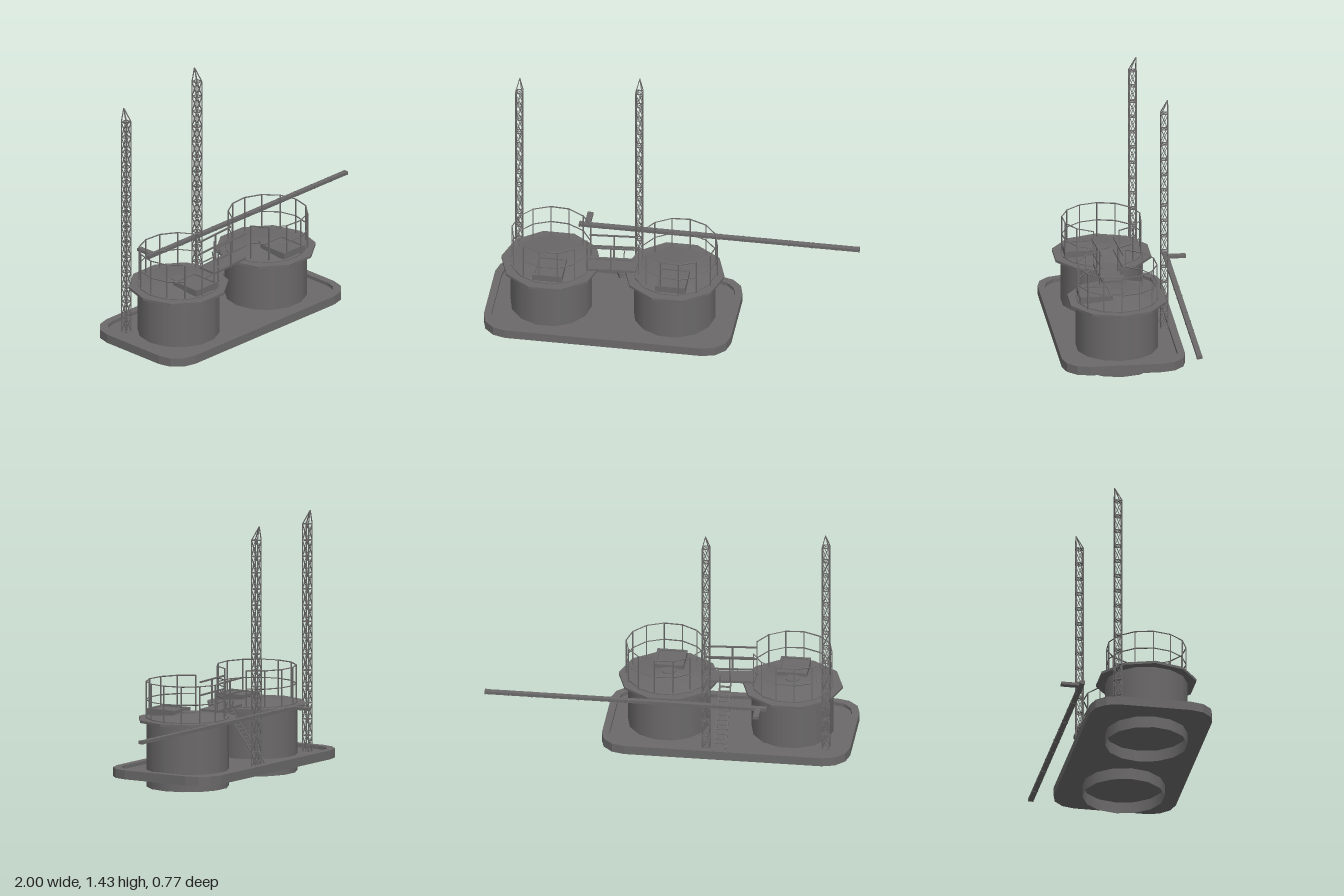
import * as THREE from 'three';
import { mergeGeometries, toCreasedNormals } from 'three/addons/utils/BufferGeometryUtils.js';

const grey = new THREE.MeshStandardMaterial({ color: 0x6b6969, side: THREE.DoubleSide });
grey.name = 'dark grey';

const V = (x, y, z) => new THREE.Vector3(x, y, z);

function add(parent, name, geometry, x = 0, y = 0, z = 0) {
  const mesh = new THREE.Mesh(geometry, grey);
  mesh.name = name;
  mesh.position.set(x, y, z);
  parent.add(mesh);
  return mesh;
}

// Square bar between two points
function rod(a, b, t = 0.005) {
  const d = b.clone().sub(a);
  const g = new THREE.BoxGeometry(t, d.length(), t);
  g.applyQuaternion(new THREE.Quaternion().setFromUnitVectors(V(0, 1, 0), d.normalize()));
  return g.translate((a.x + b.x) / 2, (a.y + b.y) / 2, (a.z + b.z) / 2);
}

// Rectangle with three-step rounded corners, as a list of points
function roundedOutline(hw, hh, r) {
  const pts = [];
  [[1, 1], [-1, 1], [-1, -1], [1, -1]].forEach(([sx, sy], q) => {
    for (let i = 0; i <= 3; i++) {
      const a = (q + i / 3) * Math.PI / 2;
      pts.push(new THREE.Vector2(sx * (hw - r) + r * Math.cos(a), sy * (hh - r) + r * Math.sin(a)));
    }
  });
  return pts;
}

function flatExtrude(shape, depth) {
  return new THREE.ExtrudeGeometry(shape, { depth, bevelEnabled: false }).rotateX(-Math.PI / 2);
}

// Slab with a low curb around its edge
function makeBase() {
  const base = new THREE.Group();
  base.name = 'base';
  const curb = new THREE.Shape(roundedOutline(0.685, 0.34, 0.14));
  curb.holes.push(new THREE.Path(roundedOutline(0.645, 0.3, 0.11).reverse()));
  add(base, 'curb', flatExtrude(curb, 0.05));
  add(base, 'floor', flatExtrude(new THREE.Shape(roundedOutline(0.647, 0.302, 0.11)), 0.03));
  base.position.set(-0.315, 0.065, 0.045);
  return base;
}

// Tank with collar, shallow roof, hatch and guard rail; the rail opens towards gapAngle
function makeTank(x, z, gapAngle, railShift) {
  const tank = new THREE.Group();
  tank.name = 'tank';
  tank.position.set(x, 0, z);
  add(tank, 'tankWall', new THREE.CylinderGeometry(0.226, 0.226, 0.383, 14, 1, true).rotateY(Math.PI / 2), 0, 0.1915, 0);
  const roof = new THREE.LatheGeometry([[0.226, 0.383], [0.04, 0.407], [0.04, 0.412], [0, 0.412]]
    .map(p => new THREE.Vector2(...p)), 14).rotateY(Math.PI / 2);
  add(tank, 'roof', toCreasedNormals(roof, 0.4));

  const collar = new THREE.CylinderGeometry(0.277, 0.277, 0.014, 10).rotateY(Math.PI / 2);
  add(tank, 'collar', toCreasedNormals(collar, 0.3), 0, 0.371, 0);

  // Hatch box with a framed lid
  const w = 0.165, d = 0.18;
  const bars = [new THREE.BoxGeometry(w, 0.03, d)];
  for (const s of [-1, 1]) {
    bars.push(new THREE.BoxGeometry(w, 0.008, 0.014).translate(0, 0.018, s * (d / 2 - 0.007)));
    bars.push(new THREE.BoxGeometry(0.014, 0.008, d).translate(s * (w / 2 - 0.007), 0.018, 0));
  }
  add(tank, 'hatch', mergeGeometries(bars), 0.008, 0.403, 0.122);

  // Guard rail
  const rods = [], n = 12, half = 0.33, r = 0.218;
  const at = (i, y) => {
    const a = gapAngle + half + i / n * (2 * Math.PI - 2 * half);
    return V(railShift + r * Math.cos(a), y, r * Math.sin(a));
  };
  for (let i = 0; i <= n; i++) {
    rods.push(rod(at(i, 0.375), at(i, 0.585), 0.006));
    if (i < n) for (const y of [0.482, 0.583]) rods.push(rod(at(i, y), at(i + 1, y)));
  }
  add(tank, 'guardRail', mergeGeometries(rods));
  return tank;
}

// Square lattice mast with a slanted tip
function makeMast(x, z) {
  const rods = [], h = 0.019, y0 = 0.095, y1 = 1.355, n = 14, t = 0.0045;
  const c = [[-h, -h], [h, -h], [h, h], [-h, h]];
  const at = (k, y) => V(c[k % 4][0], y, c[k % 4][1]);
  for (let k = 0; k < 4; k++) {
    rods.push(rod(at(k, y0), at(k, y1), t));
    rods.push(rod(at(k, y1), V(0, 1.432, -h), t));
    rods.push(rod(at(k, y1), at(k + 1, y1), t));
    for (let i = 0; i < n; i++) {
      const a = y0 + (y1 - y0) * i / n, b = y0 + (y1 - y0) * (i + 1) / n;
      rods.push(rod(at(k, a), at(k + 1, a), t));
      rods.push(rod(at(k, a), at(k + 1, b), 0.003));
      rods.push(rod(at(k + 1, a), at(k, b), 0.003));
    }
  }
  // Cross ties inside the frame
  for (let i = 0; i <= n; i++) {
    const y = y0 + (y1 - y0) * i / n;
    rods.push(rod(at(0, y), at(2, y), 0.003), rod(at(1, y), at(3, y), 0.003));
  }
  const mast = new THREE.Group();
  mast.name = 'mast';
  add(mast, 'mastLattice', mergeGeometries(rods), x, 0, z);
  return mast;
}

// Walkway joining the tanks, with a hand rail on each side
function makeBridge() {
  const bridge = new THREE.Group();
  bridge.name = 'bridge';
  const deck = new THREE.Shape([[-0.45, -0.13], [-0.18, -0.11], [-0.18, 0.005], [-0.45, -0.015]]
    .map(p => new THREE.Vector2(...p)));
  add(bridge, 'bridgeDeck', flatExtrude(deck, 0.014), 0, 0.383, 0);
  const rods = [];
  for (const z of [0.0055, 0.1245]) {
    for (const y of [0.47, 0.543]) rods.push(rod(V(-0.45, y, z + 0.01), V(-0.185, y, z - 0.01), 0.008));
    rods.push(rod(V(-0.315, 0.385, z), V(-0.315, 0.543, z), 0.008));
  }
  add(bridge, 'bridgeRails', mergeGeometries(rods));
  return bridge;
}

// Steep stair from the floor to the bridge
function makeStair() {
  const parts = [], bottom = V(0, 0.1, -0.222), top = V(0, 0.39, 0), n = 14;
  for (const x of [-0.321, -0.262]) {
    const a = bottom.clone().setX(x), b = top.clone().setX(x);
    parts.push(rod(a, b, 0.008));
    parts.push(rod(b, V(x, 0.435, -0.012), 0.005));
  }
  for (let i = 1; i < n; i++) {
    const p = bottom.clone().lerp(top, i / n);
    parts.push(new THREE.BoxGeometry(0.059, 0.004, 0.014).translate(-0.2915, p.y, p.z));
  }
  const stair = new THREE.Group();
  stair.name = 'stair';
  add(stair, 'stairFrame', mergeGeometries(parts));
  return stair;
}

// Long square duct with a short branch and joint bands
function makePipe() {
  const pipe = new THREE.Group();
  pipe.name = 'pipe';
  add(pipe, 'mainPipe', new THREE.BoxGeometry(1.555, 0.017, 0.028), 0.2225, 0.394, -0.28);
  add(pipe, 'branchPipe', new THREE.BoxGeometry(0.032, 0.016, 0.1), -0.508, 0.394, -0.339);
  const bands = [];
  for (let i = 0; i <= 12; i++) {
    bands.push(new THREE.BoxGeometry(0.006, 0.02, 0.031).translate(-0.55 + i * 0.1289, 0.394, -0.28));
  }
  add(pipe, 'pipeJoints', mergeGeometries(bands));
  return pipe;
}

export function createModel() {
  const model = new THREE.Group();
  model.name = 'twinTankStation';
  model.add(
    makeBase(),
    makeTank(-0.655, 0.057, 0, 0),
    makeTank(0.027, 0.057, Math.PI, 0.018),
    makeMast(-0.864, -0.139),
    makeMast(-0.214, -0.234),
    makeBridge(), makeStair(), makePipe(),
  );
  return model;
}
